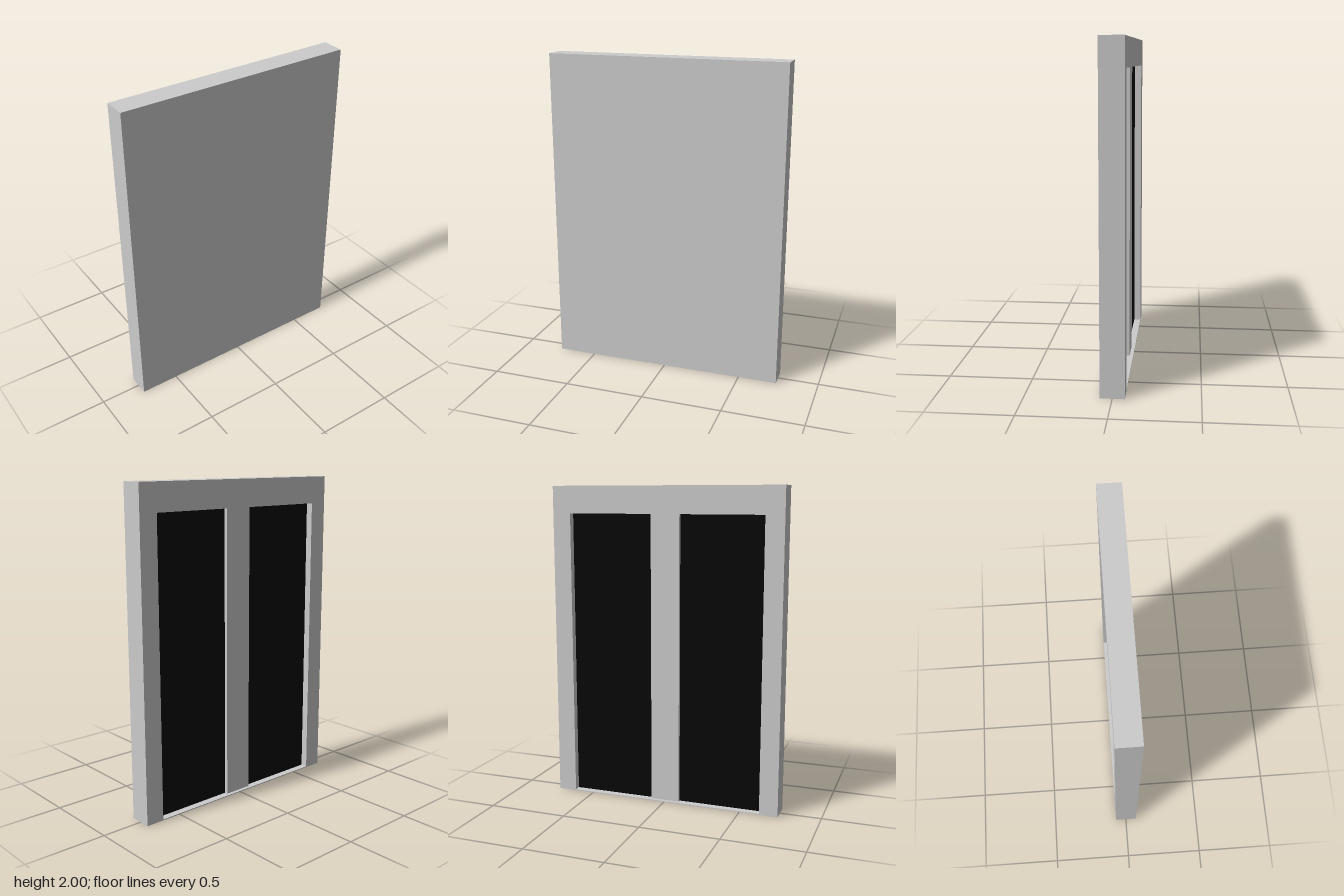
import * as THREE from 'three';

const W = 1.486, H = 2, D = 0.142;      // overall size
const SIDE = 0.117, TOP = 0.17, SILL = 0.006; // frame border widths
const RECESS = 0.046;                   // depth of the panels behind the frame face
const MULLION_W = 0.185, MULLION_D = 0.023;

export function createModel() {
  const group = new THREE.Group();
  const grey = new THREE.MeshStandardMaterial({ color: 0xcccccc });
  const black = new THREE.MeshStandardMaterial({ color: 0x080808 });

  const add = (name, geometry, material, x, y, z) => {
    const mesh = new THREE.Mesh(geometry, material);
    mesh.name = name;
    mesh.position.set(x, y, z);
    group.add(mesh);
  };

  const back = -D / 2;
  const panelZ = back + RECESS;
  const openW = W - 2 * SIDE;
  const openH = H - TOP - SILL;
  const openY = SILL + openH / 2;

  // Frame: full-depth surround with one large opening
  const outline = new THREE.Shape();
  outline.moveTo(-W / 2, 0).lineTo(W / 2, 0).lineTo(W / 2, H).lineTo(-W / 2, H).closePath();
  const hole = new THREE.Path();
  hole.moveTo(-openW / 2, SILL).lineTo(-openW / 2, H - TOP)
    .lineTo(openW / 2, H - TOP).lineTo(openW / 2, SILL).closePath();
  outline.holes.push(hole);
  const extrude = (shape, depth) =>
    new THREE.ExtrudeGeometry(shape, { depth, bevelEnabled: false });
  add('frame', extrude(outline, RECESS), grey, 0, 0, back);

  // Solid slab that closes the front
  add('frontSlab', new THREE.BoxGeometry(W, H, D - RECESS), grey, 0, H / 2, (panelZ + D / 2) / 2);

  // Two dark panels, just proud of the slab
  const panelW = (openW - MULLION_W) / 2;
  for (const side of [-1, 1]) {
    add(side > 0 ? 'leftPanel' : 'rightPanel', new THREE.BoxGeometry(panelW, openH, 0.002), black,
      side * (MULLION_W + panelW) / 2, openY, panelZ - 0.001);
  }

  // Central mullion, set back from the frame face
  add('mullion', new THREE.BoxGeometry(MULLION_W, openH, MULLION_D), grey, 0, openY, panelZ - MULLION_D / 2);

  return group;
}
